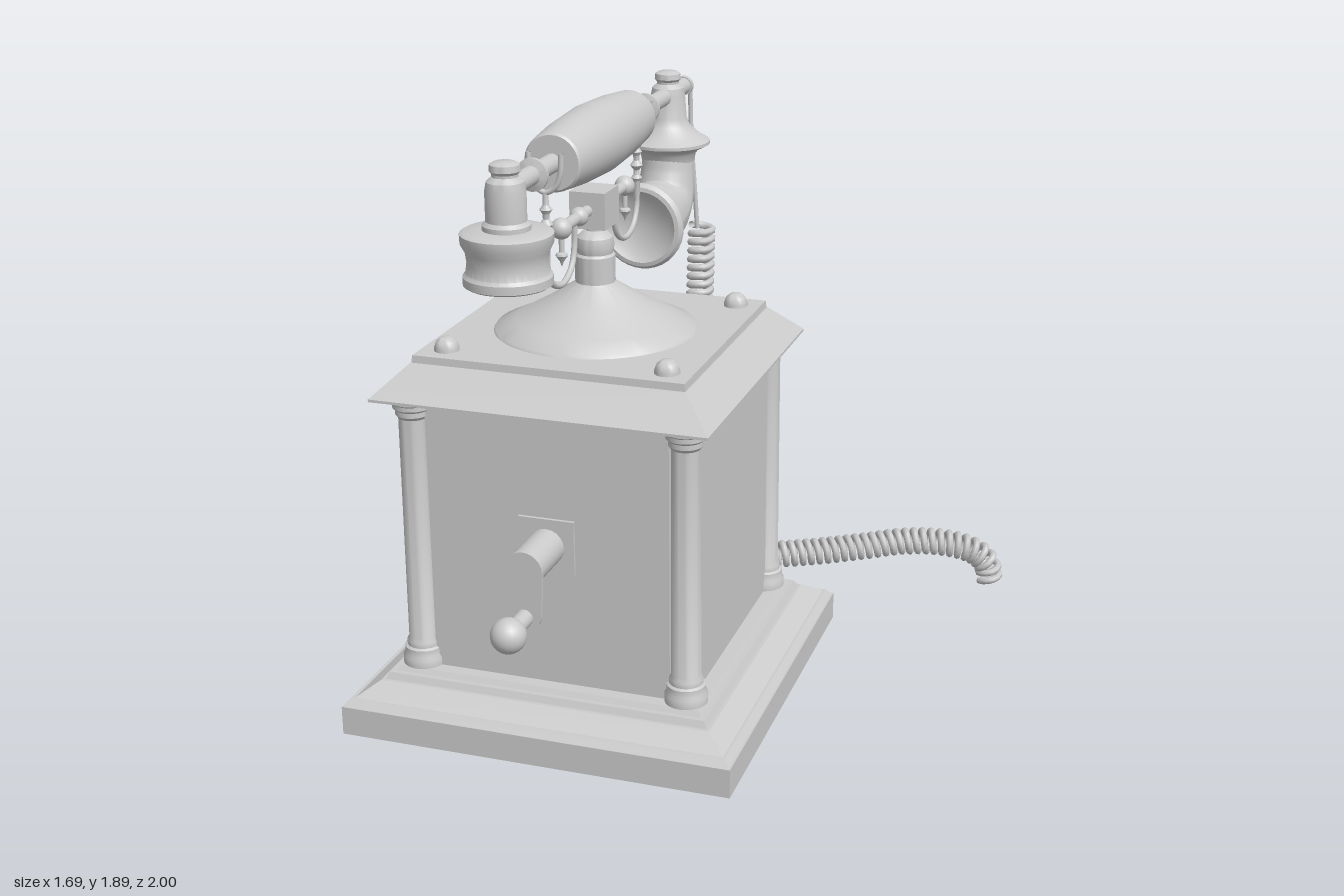
import * as THREE from 'three';
import { toCreasedNormals } from 'three/addons/utils/BufferGeometryUtils.js';

const grey = new THREE.MeshStandardMaterial({ color: 0xcccccc, side: THREE.DoubleSide });
const V = (x, y, z) => new THREE.Vector3(x, y, z);

function add(parent, name, geo, x = 0, y = 0, z = 0) {
  const m = new THREE.Mesh(geo, grey);
  m.name = name;
  m.position.set(x, y, z);
  parent.add(m);
  return m;
}
// turned part: pairs of [radius, height]
const turned = (pts, seg = 32) =>
  toCreasedNormals(new THREE.LatheGeometry(pts.map(p => new THREE.Vector2(p[0], p[1])), seg), 0.6);
// turned part lying along z
const turnedZ = (pts, seg) => turned(pts, seg).rotateX(Math.PI / 2);
const box = (w, h, d) => new THREE.BoxGeometry(w, h, d);
const ball = r => new THREE.SphereGeometry(r, 20, 14);
const rod = (r, len) => new THREE.CylinderGeometry(r, r, len, 20);
const rodZ = (r, len) => rod(r, len).rotateX(Math.PI / 2);
const tube = (pts, r, n = 40) => new THREE.TubeGeometry(new THREE.CatmullRomCurve3(pts), n, r, 10);
// square tapering block between heights y0 and y1 with half widths a and b
function taper(y0, a, y1, b) {
  const s = Math.SQRT2;
  return new THREE.CylinderGeometry(b * s, a * s, y1 - y0, 4, 1).rotateY(Math.PI / 4)
    .toNonIndexed().translate(0, (y0 + y1) / 2, 0);
}
function addTaper(parent, name, ...a) {
  const g = taper(...a);
  g.computeVertexNormals();
  add(parent, name, g);
}

function buildCabinet(p) {
  addTaper(p, 'plinth', 0.065, 0.605, 0.155, 0.605);
  addTaper(p, 'plinthEdge', 0.155, 0.6, 0.175, 0.582);
  addTaper(p, 'plinthSlope', 0.175, 0.575, 0.215, 0.515);
  addTaper(p, 'plinthStep', 0.215, 0.505, 0.235, 0.495);
  addTaper(p, 'plinthTop', 0.235, 0.48, 0.25, 0.47);
  // cross-shaped body leaves notches for the corner columns
  add(p, 'cabinet', box(0.74, 0.85, 0.86), 0, 0.675, 0);
  add(p, 'cabinetSides', box(0.86, 0.85, 0.74), 0, 0.675, 0);
  addTaper(p, 'eave', 1.1, 0.508, 1.108, 0.508);
  addTaper(p, 'roofSlope', 1.108, 0.508, 1.198, 0.415);
  addTaper(p, 'roofTop', 1.198, 0.412, 1.22, 0.41);

  const column = turned([[0, 0.25], [0.064, 0.25], [0.064, 0.275], [0.058, 0.285], [0.058, 0.305],
    [0.05, 0.31], [0.05, 0.325], [0.044, 0.335], [0.042, 1.035], [0.05, 1.045], [0.05, 1.06],
    [0.058, 1.067], [0.058, 1.08], [0.064, 1.085], [0.064, 1.1], [0, 1.1]], 28);
  const stud = turned([[0.037, 0], [0.037, 0.008], [0.03, 0.027], [0.017, 0.038], [0, 0.041]], 20);
  for (const x of [-1, 1]) for (const z of [-1, 1]) {
    add(p, 'column', column, x * 0.415, 0, z * 0.415);
    add(p, 'roofStud', stud, x * 0.335, 1.22, z * 0.335);
  }
}

function buildCrank(p) {
  const g = new THREE.Group();
  g.name = 'crank';
  p.add(g);
  add(g, 'crankPlate', box(0.17, 0.17, 0.012), 0, 0.69, 0.434);
  add(g, 'crankShaft', rodZ(0.055, 0.18), 0, 0.69, 0.52);
  const s = new THREE.Shape();
  s.absarc(0, 0.69, 0.057, 0, Math.PI);
  s.absarc(0, 0.555, 0.05, Math.PI, 2 * Math.PI);
  add(g, 'crankArm', new THREE.ExtrudeGeometry(s, { depth: 0.012, bevelEnabled: false }), 0, 0, 0.604);
  add(g, 'crankHandle', rodZ(0.026, 0.1), 0, 0.545, 0.66);
  add(g, 'crankKnob', ball(0.052), 0, 0.545, 0.732);
}

function buildDial(p) {
  const g = new THREE.Group();
  g.name = 'dial';
  g.position.set(-0.43, 0.68, 0);
  g.rotation.y = -Math.PI / 2;
  p.add(g);
  add(g, 'dialPlate', turnedZ([[0, 0], [0.335, 0], [0.335, 0.012], [0.322, 0.022], [0.312, 0.012], [0, 0.012]], 56));
  // finger wheel with holes
  const s = new THREE.Shape().absarc(0, 0, 0.305, 0, 2 * Math.PI);
  for (let i = 0; i < 11; i++) {
    const a = i * 0.49 - 0.1;
    s.holes.push(new THREE.Path().absarc(0.25 * Math.cos(a), 0.25 * Math.sin(a), 0.042, 0, 2 * Math.PI, true));
  }
  add(g, 'fingerWheel', new THREE.ExtrudeGeometry(s, { depth: 0.01, bevelEnabled: false, curveSegments: 20 }), 0, 0, 0.013);
  add(g, 'dialHub', turnedZ([[0.19, 0.022], [0.185, 0.028], [0, 0.03]], 48));
  const stop = add(g, 'fingerStop', box(0.12, 0.02, 0.012), 0.2, -0.2, 0.028);
  stop.rotation.z = -Math.PI / 4;
}

function buildCradle(p) {
  const g = new THREE.Group();
  g.name = 'cradle';
  p.add(g);
  add(g, 'cradleFoot', turned([[0.305, 1.22], [0.3, 1.228], [0.24, 1.255], [0.15, 1.305], [0.065, 1.36],
    [0.06, 1.365], [0.06, 1.445], [0.053, 1.452], [0.058, 1.475], [0.053, 1.5], [0.035, 1.517],
    [0.025, 1.52], [0.025, 1.54]], 48));
  add(g, 'cradleBlock', box(0.11, 0.11, 0.12), 0, 1.59, 0);
  add(g, 'cradleBar', rodZ(0.017, 0.54), 0, 1.59, 0);
  const finial = turned([[0, 1.478], [0.006, 1.495], [0.018, 1.512], [0.016, 1.518], [0.008, 1.522], [0.008, 1.57]], 14);
  // beaded stem under each fork
  const beads = [[0.008, 1.5], [0.011, 1.58], [0.018, 1.59], [0.01, 1.6], [0.009, 1.615], [0.02, 1.63], [0.009, 1.645],
    [0.01, 1.66], [0.018, 1.672], [0.009, 1.685], [0.008, 1.72]];
  for (const s of [1, -1]) {
    const end = new THREE.Group();
    end.name = 'cradleArm';
    end.rotation.y = s > 0 ? 0 : Math.PI;
    g.add(end);
    add(end, 'innerBall', ball(0.028), 0, 1.59, 0.125);
    add(end, 'outerBall', ball(0.031), 0, 1.59, 0.265);
    add(end, 'finial', finial, 0, 0, 0.265);
    add(end, 'hook', tube([V(0, 1.59, 0.165), V(0, 1.52, 0.165), V(0, 1.46, 0.19), V(0, 1.428, 0.26),
      V(0, 1.45, 0.34), V(0, 1.5, 0.372), V(0, 1.56, 0.375)], 0.009));
    add(end, 'beadedStem', turned(beads, 14), 0, 0, 0.375);
    add(end, 'fork', tube([V(-0.048, 1.83, 0.375), V(-0.044, 1.77, 0.375), V(-0.028, 1.735, 0.375), V(0, 1.72, 0.375),
      V(0.028, 1.735, 0.375), V(0.044, 1.77, 0.375), V(0.048, 1.83, 0.375)], 0.008));
  }
}

function buildHandset(p) {
  const g = new THREE.Group();
  g.name = 'handset';
  p.add(g);
  const y = 1.79;
  add(g, 'handsetRod', rodZ(0.027, 1.51), 0, y, -0.105);
  add(g, 'grip', turnedZ([[0, -0.322], [0.078, -0.322], [0.084, -0.315], [0.097, -0.18], [0.105, 0],
    [0.097, 0.18], [0.084, 0.315], [0.078, 0.322], [0, 0.322]], 36), 0, y, 0);
  const collar = turnedZ([[0.027, -0.012], [0.046, -0.006], [0.046, 0.006], [0.027, 0.012]], 24);
  for (const z of [0.465, -0.465]) add(g, 'collar', collar, 0, y, z);
  add(g, 'rodTip', rodZ(0.031, 0.02), 0, y, -0.85);
  // turned sockets over both ends of the rod
  const cap = [[0.055, 1.71], [0.055, 1.79], [0.05, 1.815], [0.035, 1.828], [0.035, 1.835], [0.042, 1.843],
    [0.04, 1.86], [0.03, 1.866], [0, 1.868]];
  add(g, 'earpiece', turned([[0, 1.545], [0.09, 1.55], [0.112, 1.535], [0.12, 1.54], [0.12, 1.563], [0.112, 1.572],
    [0.108, 1.6], [0.112, 1.63], [0.124, 1.652], [0.125, 1.678], [0.115, 1.684], [0.065, 1.687], [0.065, 1.7], ...cap]), 0, 0, 0.65);
  add(g, 'mouthpieceSocket', turned([[0.085, 1.58], [0.09, 1.605], [0.1, 1.617], [0.135, 1.635], [0.135, 1.645],
    [0.105, 1.662], [0.07, 1.695], [0.06, 1.72], ...cap.slice(1)], 36), 0, 0, -0.685);
  // elbow that widens toward its mouth
  const path = new THREE.CatmullRomCurve3([V(0, 1.61, -0.68), V(0, 1.53, -0.672), V(0, 1.465, -0.645),
    V(0, 1.435, -0.59), V(0, 1.427, -0.52), V(0, 1.425, -0.45)]);
  const n = 28, seg = 28;
  const elbow = new THREE.TubeGeometry(path, n, 1, seg);
  const pos = elbow.attributes.position, v = V(0, 0, 0);
  for (let i = 0; i < pos.count; i++) {
    const u = Math.floor(i / (seg + 1)) / n, c = path.getPointAt(u);
    v.fromBufferAttribute(pos, i).sub(c).multiplyScalar(0.079 + 0.036 * u).add(c);
    pos.setXYZ(i, v.x, v.y, v.z);
  }
  elbow.computeVertexNormals();
  add(g, 'elbow', elbow);
  add(g, 'mouthpiece', turnedZ([[0.113, -0.46], [0.118, -0.45], [0.122, -0.43], [0.137, -0.425], [0.138, -0.415],
    [0.128, -0.4], [0.115, -0.398], [0.09, -0.415], [0, -0.43]], 36), 0, 1.425, 0);
}

function buildCord(root) {
  add(root, 'thinCord', tube([V(-0.245, 1.79, -0.63), V(-0.245, 1.795, -0.665), V(-0.243, 1.77, -0.685),
    V(-0.24, 1.6, -0.695), V(-0.23, 1.4, -0.706), V(-0.225, 1.29, -0.712)], 0.008));
  // coil wound around a hanging, then trailing centre line
  const line = new THREE.CatmullRomCurve3([V(-0.22, 1.29, -0.748), V(-0.22, 1.1, -0.732), V(-0.22, 0.9, -0.718),
    V(-0.22, 0.65, -0.728), V(-0.22, 0.4, -0.742), V(-0.215, 0.22, -0.735), V(-0.17, 0.135, -0.7), V(-0.06, 0.12, -0.69),
    V(0.05, 0.12, -0.7), V(0.2, 0.122, -0.765), V(0.36, 0.133, -0.84), V(0.5, 0.148, -0.895), V(0.64, 0.147, -0.925),
    V(0.74, 0.12, -0.943), V(0.785, 0.075, -0.95), V(0.795, 0.02, -0.952)]);
  const turns = 76, n = turns * 12;
  const f = line.computeFrenetFrames(n), pts = [];
  for (let i = 0; i <= n; i++) {
    const a = i / 12 * 2 * Math.PI;
    pts.push(line.getPointAt(i / n).addScaledVector(f.normals[i], 0.037 * Math.cos(a))
      .addScaledVector(f.binormals[i], 0.037 * Math.sin(a)));
  }
  const coil = new THREE.CatmullRomCurve3(pts);
  coil.arcLengthDivisions = 4000;
  add(root, 'coiledCord', new THREE.TubeGeometry(coil, n, 0.0125, 7));
}

export function createModel() {
  const root = new THREE.Group();
  root.name = 'telephone';
  const phone = new THREE.Group();
  phone.name = 'telephoneBody';
  phone.position.set(-0.245, 0, 0.22);
  root.add(phone);
  buildCabinet(phone);
  buildCrank(phone);
  buildDial(phone);
  buildCradle(phone);
  buildHandset(phone);
  buildCord(root);
  return root;
}
